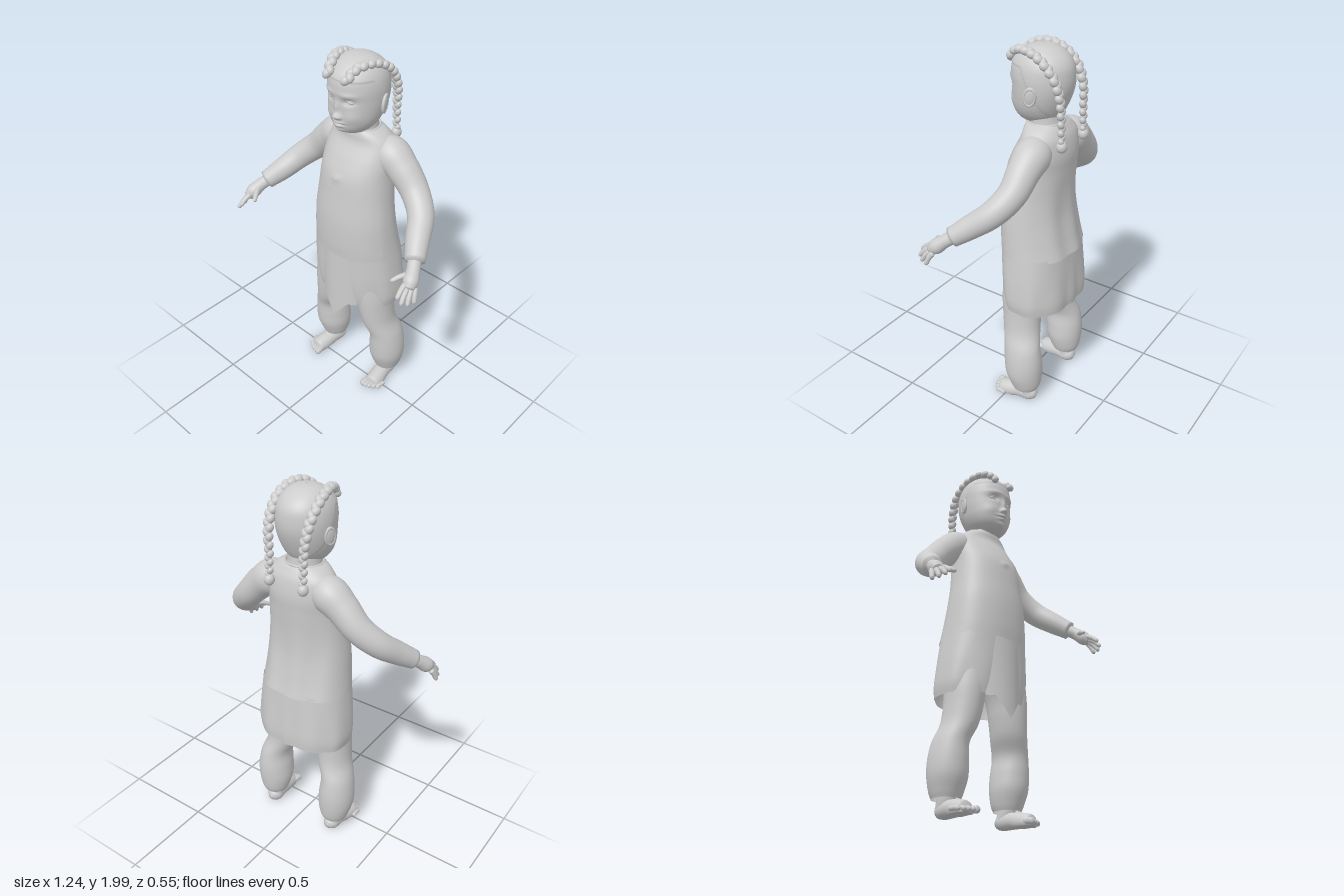
import * as THREE from 'three';
import { mergeVertices } from 'three/addons/utils/BufferGeometryUtils.js';

const grey = new THREE.MeshStandardMaterial({ color: 0xcccccc, side: THREE.DoubleSide });
grey.name = 'lightGrey';

// Smooth interpolation through a list of numbers, t in 0..1
function spline(a, t) {
  const f = t * (a.length - 1), i = Math.min(Math.floor(f), a.length - 2), u = f - i;
  const m = (k) => (a[Math.min(k + 1, a.length - 1)] - a[Math.max(k - 1, 0)]) / 2;
  const u2 = u * u, u3 = u2 * u;
  return (2 * u3 - 3 * u2 + 1) * a[i] + (u3 - 2 * u2 + u) * m(i)
    + (3 * u2 - 2 * u3) * a[i + 1] + (u3 - u2) * m(i + 1);
}

// Upright body from rows [y, centreX, halfWidth, frontZ, backZ], bottom to top
function loft(rows, { n = 48, steps = 48, power = 2, rule = null } = {}) {
  const pos = [], idx = [];
  for (let i = 0; i <= steps; i++) {
    const [y, cx, rx, zf, zb] = rows[0].map((_, k) => spline(rows.map((r) => r[k]), i / steps));
    for (let j = 0; j < n; j++) {
      const a = (j / n) * Math.PI * 2, c = Math.cos(a), s = Math.sin(a);
      const p = new THREE.Vector3(
        cx + rx * Math.sign(c) * Math.abs(c) ** (2 / power), y,
        (zf + zb) / 2 + ((zf - zb) / 2) * Math.sign(s) * Math.abs(s) ** (2 / power));
      if (rule) rule(p, a);
      pos.push(p.x, p.y, p.z);
      if (i < steps) {
        const q = i * n + j, r = i * n + ((j + 1) % n);
        idx.push(q, q + n, r, r, q + n, r + n);
      }
    }
  }
  const g = new THREE.BufferGeometry();
  g.setAttribute('position', new THREE.Float32BufferAttribute(pos, 3));
  g.setIndex(idx);
  g.computeVertexNormals();
  return g;
}

// Round limb along points [x, y, z, radius], with closed ends
function limb(points, { steps = 32, n = 20, floor = -9 } = {}) {
  const curve = new THREE.CatmullRomCurve3(points.map((p) => new THREE.Vector3(p[0], p[1], p[2])));
  let g = new THREE.TubeGeometry(curve, steps, 1, n);
  const P = g.attributes.position, N = g.attributes.normal, radii = points.map((p) => p[3]);
  for (let i = 0; i <= steps; i++) {
    const t = i / steps, c = curve.getPointAt(t);
    const r = i === 0 || i === steps ? 0.0005 : spline(radii, curve.getUtoTmapping(t));
    for (let j = 0; j <= n; j++) {
      const k = i * (n + 1) + j;
      P.setXYZ(k, c.x + N.getX(k) * r, Math.max(floor, c.y + N.getY(k) * r), c.z + N.getZ(k) * r);
    }
  }
  g.deleteAttribute('uv');
  g.deleteAttribute('normal');
  g = mergeVertices(g, 1e-5);
  g.computeVertexNormals();
  return g;
}

const bump = (p, x, y, sx, sy, amount) =>
  amount * Math.exp(-(((p.x - x) / sx) ** 2) - ((p.y - y) / sy) ** 2);

// Face relief and raised hair
function sculptHead(p) {
  const hairline = p.z > -0.03 ? 1.9 : Math.max(1.62, 1.9 + (p.z + 0.03) * 1.9);
  const k = THREE.MathUtils.smoothstep(p.y, hairline - 0.003, hairline + 0.006) * 0.025;
  p.x *= 1 + k;
  p.z += (p.z + 0.07) * k;
  if (p.z < 0) return;
  const w = Math.min(1, p.z / 0.03);
  let d = bump(p, 0, 1.722, 0.017, 0.018, 0.026) + bump(p, 0, 1.765, 0.012, 0.03, 0.012);
  d += bump(p, 0, 1.69, 0.03, 0.009, 0.013) + bump(p, 0, 1.67, 0.025, 0.008, 0.011);
  d += bump(p, 0, 1.68, 0.035, 0.004, -0.008) + bump(p, 0, 1.64, 0.03, 0.014, 0.008);
  for (const s of [-1, 1]) {
    d += bump(p, s * 0.018, 1.717, 0.01, 0.01, 0.01);
    d += bump(p, s * 0.058, 1.8, 0.028, 0.015, -0.013);
    d += bump(p, s * 0.06, 1.835, 0.04, 0.013, 0.006);
    d += bump(p, s * 0.075, 1.72, 0.035, 0.035, 0.008);
  }
  p.z += d * w;
}

// Soft folds on the shirt front and back
function foldShirt(p) {
  if (p.z > 0) {
    p.z += bump(p, 0, 1.375, 0.02, 0.014, 0.012);
  } else p.z += 0.006 * Math.sin(p.x * 38) * THREE.MathUtils.smoothstep(1.45 - p.y, 0, 0.4);
}

// Skirt folds and the ridge along its back opening
function foldSkirt(p, a) {
  const k = THREE.MathUtils.smoothstep(0.92 - p.y, 0, 0.3);
  p.z += 0.006 * k * Math.sin(a * 7);
  if (p.z < -0.1) p.z -= 0.012 * k * Math.exp(-((p.x / 0.03) ** 2));
}

export function createModel() {
  const model = new THREE.Group();
  const add = (name, geometry, parent = model) => {
    const m = new THREE.Mesh(geometry, grey);
    m.name = name;
    parent.add(m);
    return m;
  };
  const ball = (name, x, y, z, sx, sy, sz) => {
    const m = add(name, new THREE.SphereGeometry(1, 24, 16));
    m.position.set(x, y, z);
    m.scale.set(sx, sy, sz);
    return m;
  };

  // Head and neck
  add('head', loft([
    [1.605, 0, 0.002, -0.04, -0.044], [1.613, 0, 0.055, 0.015, -0.11], [1.63, 0, 0.082, 0.052, -0.145],
    [1.66, 0, 0.108, 0.072, -0.172], [1.7, 0, 0.127, 0.078, -0.193], [1.75, 0, 0.138, 0.08, -0.213],
    [1.8, 0, 0.143, 0.083, -0.226], [1.85, 0, 0.143, 0.087, -0.228], [1.9, 0, 0.134, 0.08, -0.22],
    [1.94, 0, 0.114, 0.055, -0.195], [1.97, 0, 0.083, 0.015, -0.155], [1.985, 0, 0.048, -0.025, -0.115],
    [1.99, 0, 0.002, -0.068, -0.072],
  ], { n: 128, steps: 130, rule: sculptHead }));
  add('neck', loft([[1.56, 0, 0.1, -0.01, -0.19], [1.62, 0, 0.088, -0.01, -0.175], [1.68, 0, 0.085, 0, -0.17]], { steps: 8 }));

  // Shirt body and collar
  add('shirt', loft([
    [0.915, 0, 0.25, 0.114, -0.268], [1.0, 0, 0.241, 0.119, -0.248], [1.13, 0, 0.228, 0.118, -0.226],
    [1.25, 0, 0.212, 0.106, -0.222], [1.38, 0, 0.2, 0.088, -0.23], [1.47, 0, 0.198, 0.05, -0.235],
    [1.55, 0, 0.185, 0.005, -0.222], [1.595, 0, 0.145, -0.002, -0.2], [1.62, 0, 0.1, -0.004, -0.182],
  ], { n: 72, steps: 60, power: 2.15, rule: foldShirt }));
  const collar = add('collar', new THREE.TorusGeometry(0.097, 0.006, 10, 48));
  collar.rotation.x = Math.PI / 2;
  collar.scale.y = 0.92;
  collar.position.set(0, 1.618, -0.093);

  // Skirt
  add('skirt', loft([
    [0.6, 0, 0.262, 0.075, -0.27], [0.66, 0, 0.27, 0.085, -0.272], [0.76, 0, 0.264, 0.095, -0.266],
    [0.85, 0, 0.254, 0.1, -0.26], [0.93, 0, 0.244, 0.104, -0.255],
  ], { n: 96, steps: 24, power: 2.4, rule: foldSkirt }));

  // Pointed cloth hanging at the front
  const flap = new THREE.PlaneGeometry(2, 1, 24, 20), fp = flap.attributes.position;
  for (let i = 0; i < fp.count; i++) {
    const u = fp.getX(i), v = 0.5 - fp.getY(i), x = u * 0.125;
    const bottom = Math.min(0.59, 0.485 + Math.abs(x) * 1.3);
    fp.setXYZ(i, x, THREE.MathUtils.lerp(0.92, bottom, v), 0.112 + 0.008 * v - (2.2 + v) * x * x);
  }
  flap.computeVertexNormals();
  add('frontFlap', flap);

  for (const s of [1, -1]) {
    const side = s > 0 ? 'left' : 'right';
    const at = (pts) => pts.map(([x, ...rest]) => [s * x, ...rest]);

    // Sleeve
    add(side + 'Sleeve', limb(at([
      [0.09, 1.5, -0.12, 0.07], [0.165, 1.495, -0.125, 0.093], [0.24, 1.445, -0.125, 0.083],
      [0.33, 1.355, -0.118, 0.073], [0.415, 1.275, -0.068, 0.067], [0.475, 1.2, 0.025, 0.06],
      [0.53, 1.137, 0.11, 0.05],
    ]), { steps: 48, n: 32 }));

    // Hand: palm, four fingers and thumb
    add(side + 'Palm', limb(at([
      [0.515, 1.15, 0.09, 0.034], [0.543, 1.118, 0.135, 0.034], [0.562, 1.085, 0.175, 0.039], [0.575, 1.06, 0.205, 0.025],
    ])));
    const fingers = [
      [0.552, 1.085, 0.2, 0.56, 1.035, 0.275], [0.567, 1.07, 0.205, 0.585, 1.01, 0.272],
      [0.581, 1.063, 0.193, 0.603, 0.997, 0.245], [0.59, 1.065, 0.172, 0.614, 0.995, 0.207],
      [0.54, 1.107, 0.15, 0.485, 1.08, 0.235],
    ];
    fingers.forEach(([x, y, z, X, Y, Z], i) => add(side + (i < 4 ? 'Finger' : 'Thumb'), limb(at([
      [x, y, z, 0.015], [(x + X) / 2, (y + Y) / 2 + 0.006, (z + Z) / 2, 0.0135],
      [x * 0.1 + X * 0.9, y * 0.1 + Y * 0.9, z * 0.1 + Z * 0.9, 0.011], [X, Y, Z, 0.005],
    ]), { steps: 14, n: 12 })));

    // Trouser leg
    add(side + 'Trouser', loft([
      [0.085, s * 0.211, 0.07, -0.035, -0.182], [0.12, s * 0.211, 0.083, -0.02, -0.195],
      [0.19, s * 0.213, 0.098, 0.004, -0.203], [0.27, s * 0.215, 0.096, 0.012, -0.203],
      [0.36, s * 0.211, 0.085, 0.018, -0.19], [0.45, s * 0.178, 0.088, 0.042, -0.168],
      [0.54, s * 0.162, 0.093, 0.056, -0.163], [0.64, s * 0.15, 0.1, 0.065, -0.17],
      [0.78, s * 0.12, 0.12, 0.07, -0.19],
    ], { n: 40, steps: 48 }));

    // Foot, ankle and toes
    add(side + 'Ankle', limb(at([[0.208, 0.16, -0.11, 0.045], [0.208, 0.09, -0.11, 0.046], [0.205, 0.03, -0.125, 0.045]])));
    add(side + 'Foot', limb(at([
      [0.202, 0.03, -0.176, 0.02], [0.204, 0.034, -0.14, 0.044], [0.21, 0.035, -0.07, 0.046],
      [0.22, 0.02, 0, 0.05], [0.226, 0.012, 0.045, 0.045], [0.228, 0.012, 0.06, 0.02],
    ]), { floor: 0 }));
    for (let i = 0; i < 5; i++) {
      const x = 0.188 + i * 0.021, z = 0.084 - i * i * 0.0024, r = i ? 0.0125 : 0.018;
      add(side + 'Toe', limb(at([
        [x + 0.005, 0.02, z - 0.055, r], [x, 0.019, z - 0.015, r], [x, 0.016, z, r], [x, 0.015, z + 0.01, r * 0.5],
      ]), { steps: 14, n: 12, floor: 0 }));
    }

    // Eye with lids
    ball(side + 'Eye', s * 0.058, 1.8, 0.051, 0.022, 0.011, 0.013);
    for (const [dy, r] of [[0.009, 0.0035], [-0.008, 0.0025]]) {
      add(side + 'Eyelid', limb(at([
        [0.034, 1.798, 0.062, r], [0.048, 1.8 + dy, 0.066, r], [0.066, 1.8 + dy, 0.06, r], [0.083, 1.799, 0.048, r],
      ]), { steps: 16, n: 8 }));
    }

    // Ear with rim
    const ear = new THREE.Group();
    ear.name = side + 'Ear';
    ear.position.set(s * 0.147, 1.772, -0.092);
    ear.rotation.set(-0.15, s * (Math.PI / 2 + 0.35), 0);
    model.add(ear);
    add('earBowl', new THREE.SphereGeometry(1, 20, 14), ear).scale.set(0.027, 0.043, 0.01);
    add('earRim', new THREE.TorusGeometry(0.034, 0.008, 10, 28), ear).scale.set(0.78, 1.2, 1);

    // Braid of alternating plump strands, with a bobble at its end
    const path = new THREE.CatmullRomCurve3(at([
      [0.058, 1.915, 0.078], [0.07, 1.953, 0.045], [0.088, 1.972, 0], [0.104, 1.968, -0.07], [0.113, 1.935, -0.14],
      [0.112, 1.87, -0.2], [0.106, 1.78, -0.232], [0.1, 1.69, -0.238], [0.1, 1.57, -0.243],
    ]).map((p) => new THREE.Vector3(...p)));
    const count = 32;
    for (let i = 0; i < count; i++) {
      const t = i / (count - 1), p = path.getPointAt(t), dir = path.getTangentAt(t);
      const size = 0.021 - 0.006 * Math.max(0, t - 0.6) / 0.4, lean = i % 2 ? 1 : -1;
      const strand = ball(side + 'BraidStrand', p.x + lean * 0.006, p.y, p.z, size, size * 1.25, size);
      strand.quaternion.setFromUnitVectors(new THREE.Vector3(0, 1, 0), dir.add(new THREE.Vector3(-lean * 0.6, 0, 0)).normalize());
    }
    ball(side + 'Bobble', s * 0.1, 1.543, -0.243, 0.027, 0.03, 0.027);
  }
  return model;
}
